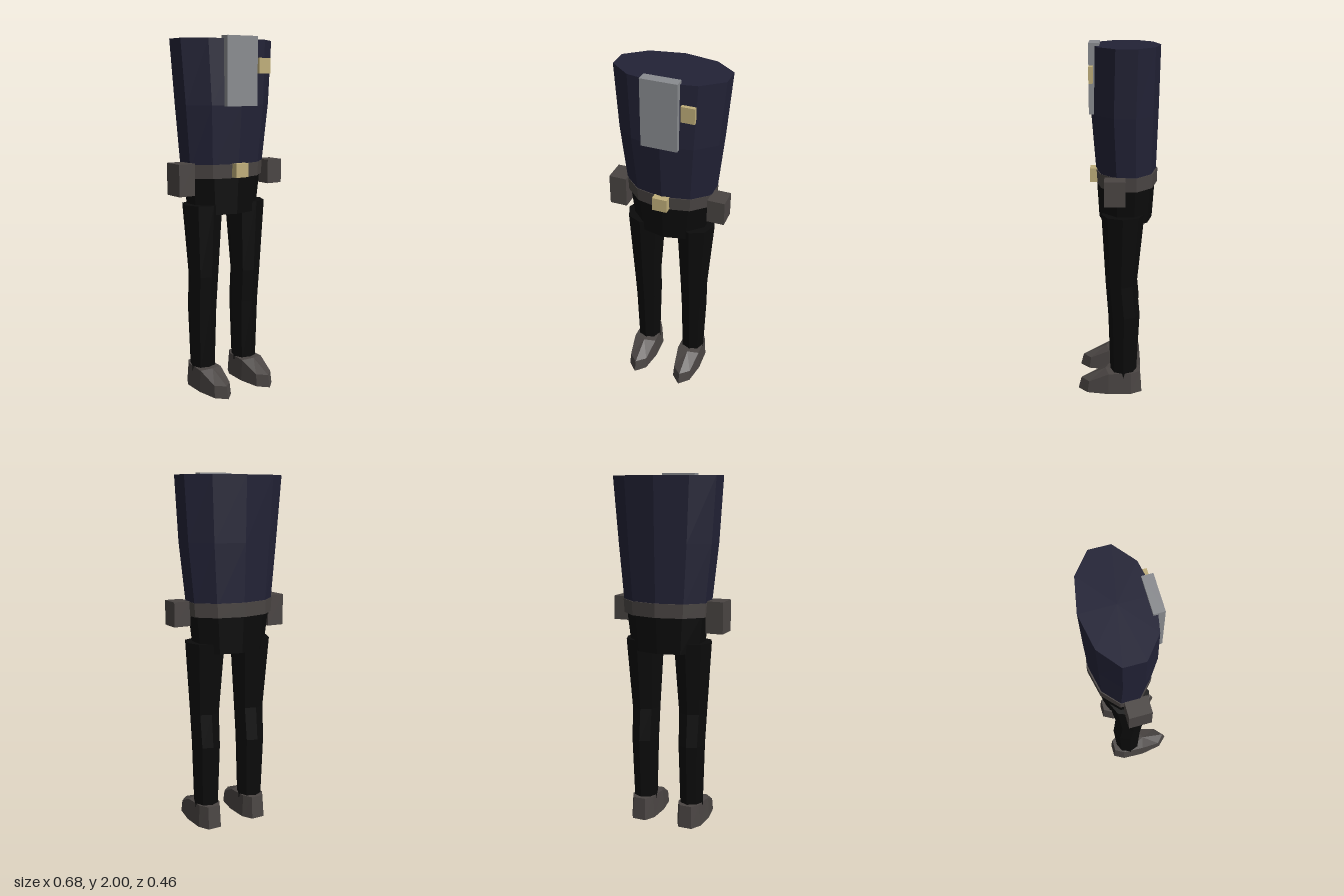
import * as THREE from 'three';

const flat = (name, color) => {
  const m = new THREE.MeshStandardMaterial({ color });
  m.name = name;
  m.flatShading = true;
  return m;
};

// Horizontal polygon ring at height y, reaching from zBack to zFront
function ring(sides, y, rx, zBack, zFront, cx = 0) {
  const cz = (zFront + zBack) / 2, rz = (zFront - zBack) / 2;
  return Array.from({ length: sides }, (_, i) => {
    const a = Math.PI / 2 + (i / sides) * Math.PI * 2;
    return [cx + rx * Math.cos(a), y, cz + rz * Math.sin(a)];
  });
}

const middle = (r) => [0, 1, 2].map((k) => r.reduce((s, p) => s + p[k], 0) / r.length);

// Skin rings from bottom to top and close both ends with fans
function loft(rings, topCentre = middle(rings[rings.length - 1])) {
  const pos = [], n = rings[0].length, last = rings[rings.length - 1];
  const tri = (...pts) => pts.forEach((p) => pos.push(...p));
  const low = middle(rings[0]);
  for (let i = 0; i < n; i++) {
    const j = (i + 1) % n;
    for (let k = 0; k < rings.length - 1; k++) {
      const a = rings[k], b = rings[k + 1];
      tri(a[i], b[i], a[j]);
      tri(b[i], b[j], a[j]);
    }
    tri(low, rings[0][i], rings[0][j]);
    tri(topCentre, last[j], last[i]);
  }
  const g = new THREE.BufferGeometry();
  g.setAttribute('position', new THREE.Float32BufferAttribute(pos, 3));
  g.computeVertexNormals();
  return g;
}

export function createModel() {
  const group = new THREE.Group();
  const navy = flat('navy cloth', 0x222236);
  const black = flat('black cloth', 0x0b0b0b);
  const leather = flat('dark leather', 0x4a4543);
  const brass = flat('brass', 0xbfae7a);
  const grey = flat('grey plate', 0x898b8f);

  const add = (name, geometry, material) => {
    const mesh = new THREE.Mesh(geometry, material);
    mesh.name = name;
    group.add(mesh);
    return mesh;
  };
  // Box given by its minimum and maximum corners
  const box = (name, material, [x0, y0, z0], [x1, y1, z1]) =>
    add(name, new THREE.BoxGeometry(x1 - x0, y1 - y0, z1 - z0), material)
      .position.set((x0 + x1) / 2, (y0 + y1) / 2, (z0 + z1) / 2);

  // Body
  add('torso', loft([
    ring(10, 1.29, 0.258, -0.215, 0.118),
    ring(10, 1.63, 0.293, -0.226, 0.145),
    ring(10, 1.985, 0.32, -0.234, 0.137),
  ]), navy);
  add('belt', loft([
    ring(10, 1.23, 0.256, -0.222, 0.12),
    ring(10, 1.308, 0.262, -0.224, 0.125),
  ]), leather);
  add('pelvis', loft([
    ring(10, 1.025, 0.215, -0.195, 0.103),
    ring(10, 1.25, 0.243, -0.21, 0.116),
  ]), black);

  // Legs and shoes
  for (const [side, s] of [['left', 1], ['right', -1]]) {
    const cx = 0.147 * s;
    add(side + 'Leg', loft([
      ring(8, 0.1, 0.069, -0.11, 0.04, cx),
      ring(8, 0.48, 0.08, -0.128, 0.052, cx),
      ring(8, 0.67, 0.085, -0.11, 0.066, cx),
      ring(8, 1.08, 0.113, -0.15, 0.088, cx),
    ]), black);

    // Shoe outline: half width, z, then top width factor, top z and top height
    const half = [
      [0.077, 0.05, 0.9, 0.05, 0.125],
      [0.055, 0.175, 0.95, 0.165, 0.07],
      [0, 0.23, 1, 0.212, 0.07],
      [-0.055, 0.175, 0.95, 0.165, 0.07],
      [-0.077, 0.05, 0.9, 0.05, 0.125],
      [-0.073, -0.08, 0.9, -0.08, 0.13],
      [-0.04, -0.142, 0.9, -0.132, 0.13],
      [0.04, -0.142, 0.9, -0.132, 0.13],
      [0.073, -0.08, 0.9, -0.08, 0.13],
    ];
    add(side + 'Shoe', loft([
      half.map(([x, z]) => [cx + x, 0, z]),
      half.map(([x, , f, z, y]) => [cx + x * f, y, z]),
    ], [cx, 0.132, 0.07]), leather);
  }

  // Belt gear
  box('buckle', brass, [-0.042, 1.235, 0.11], [0.042, 1.312, 0.153]);
  box('rightPouch', leather, [-0.342, 1.14, -0.083], [-0.242, 1.317, 0.045]);
  box('leftPouch', leather, [0.242, 1.175, -0.045], [0.34, 1.312, 0.068]);

  // Chest gear
  box('chestPlate', grey, [-0.1, 1.625, 0.095], [0.1, 2, 0.153]);
  box('badge', brass, [0.115, 1.8, 0.128], [0.19, 1.885, 0.15]);

  return group;
}
